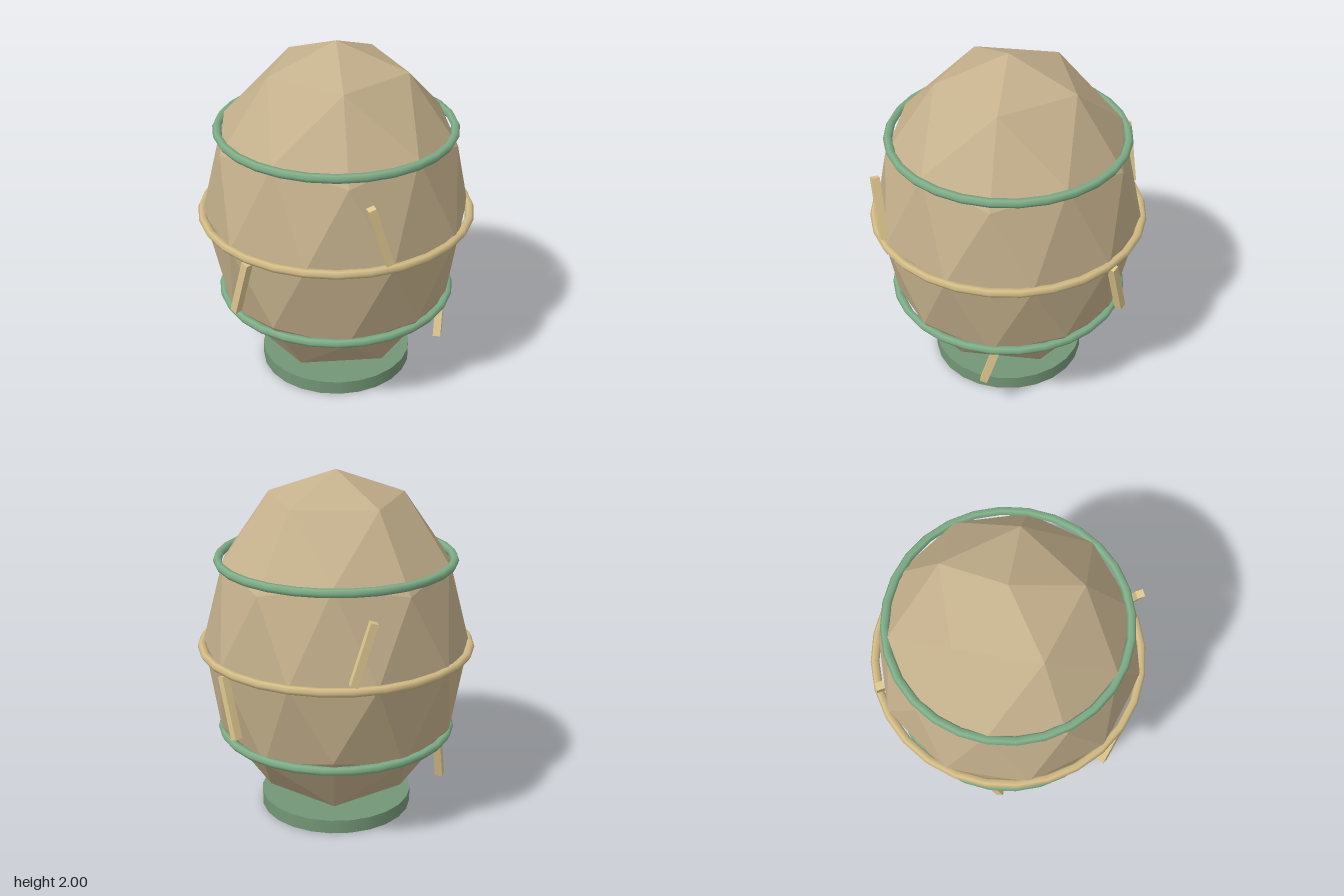
import * as THREE from 'three';

const mat = (name, color, flatShading = false) => {
  const m = new THREE.MeshStandardMaterial({ color, flatShading });
  m.name = name;
  return m;
};

export function createModel() {
  const model = new THREE.Group();
  model.name = 'bandedEgg';
  const stone = mat('tan stone', 0xc4b08c, true);
  const gold = mat('pale gold', 0xd3bc86);
  const bright = mat('light gold', 0xdec790, true);
  const green = mat('jade green', 0x7fae88);
  const darkGreen = mat('muted green', 0x739676);

  const add = (name, geometry, material, x, y, z) => {
    const mesh = new THREE.Mesh(geometry, material);
    mesh.name = name;
    mesh.position.set(x, y, z);
    model.add(mesh);
    return mesh;
  };

  // Faceted egg: subdivided icosahedron turned so one corner points straight up
  const egg = new THREE.IcosahedronGeometry(1, 1);
  egg.rotateZ(-Math.atan2(1, (1 + Math.sqrt(5)) / 2));
  egg.scale(0.76, 1, 0.76);
  egg.computeVertexNormals();
  add('egg', egg, stone, 0, 1.002, 0);

  // Round foot
  add('base', new THREE.CylinderGeometry(0.44, 0.44, 0.08, 24), darkGreen, 0, 0.04, 0);

  // Three level hoops
  const hoop = (name, radius, y, material) => {
    const g = new THREE.TorusGeometry(radius, 0.025, 6, 28);
    g.rotateX(Math.PI / 2);
    add(name, g, material, 0, y, 0);
  };
  hoop('lowerHoop', 0.66, 0.504, green);
  hoop('middleHoop', 0.763, 1.004, gold);
  hoop('upperHoop', 0.66, 1.506, green);

  // Six slanted bars around the shell, leaning alternately right and left
  const barGeometry = new THREE.BoxGeometry(0.043, 0.355, 0.045);
  const heights = [0.405, 1.205, 0.802];
  const radii = [0.62, 0.755, 0.755];
  for (let i = 0; i < 6; i++) {
    const a = (i * Math.PI) / 3;
    const r = radii[i % 3];
    const bar = add('bar' + (i + 1), barGeometry, bright, r * Math.cos(a), heights[i % 3], r * Math.sin(a));
    bar.rotation.set(0, Math.PI / 2 - a, i % 2 ? 0.3 : -0.3);
  }
  return model;
}
